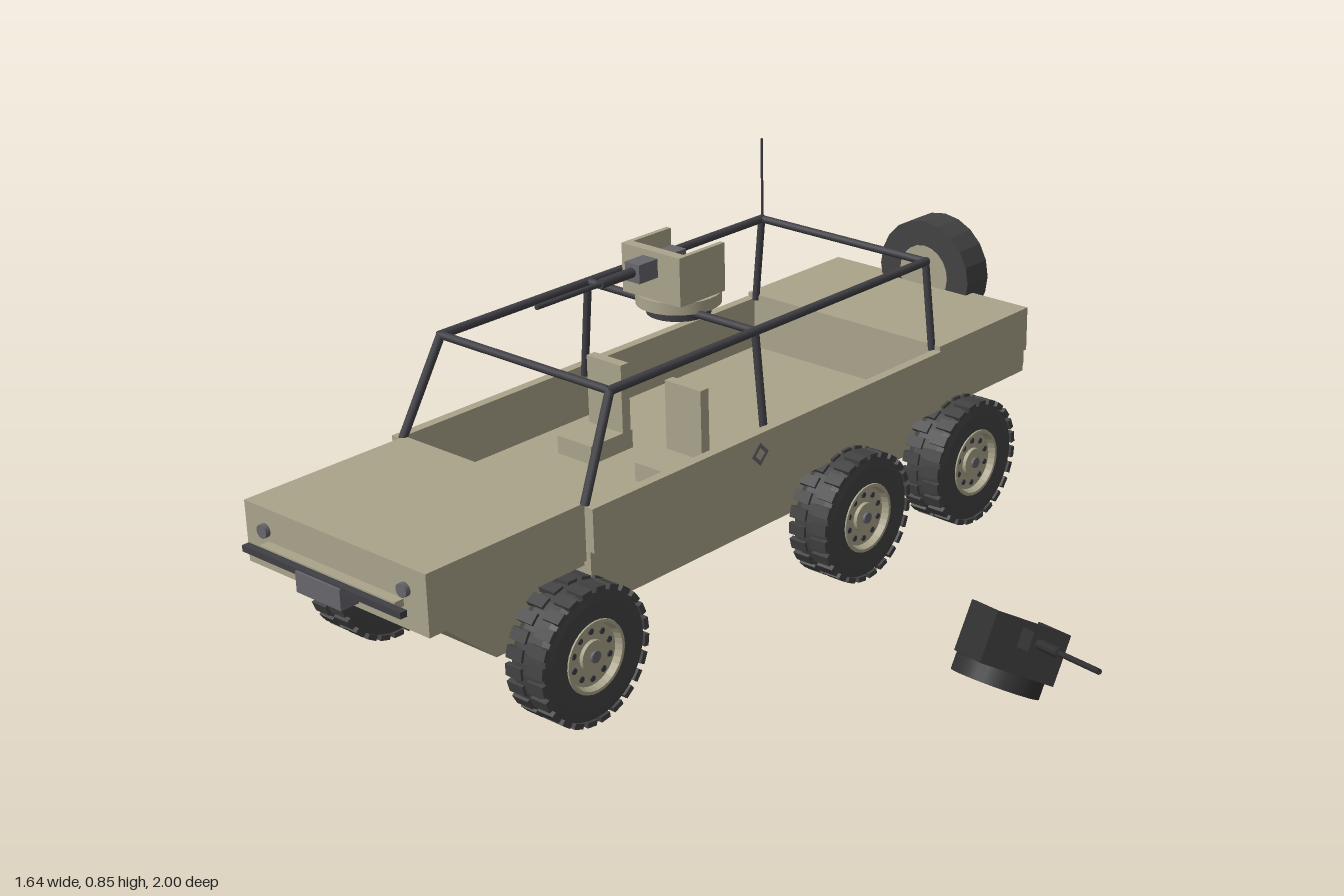
import * as THREE from 'three';

const material = (name, color) => {
  const m = new THREE.MeshStandardMaterial({ color });
  m.name = name;
  return m;
};

export function createModel() {
  const tan = material('tan paint', 0xaaa48b);
  const rubber = material('tyre rubber', 0x424242);
  const frame = material('dark frame', 0x3f3f45);
  const steel = material('grey steel', 0x66666c);
  const wreck = material('charred metal', 0x313131);

  const model = new THREE.Group();
  model.name = 'sixWheeledCar';
  const car = new THREE.Group();
  car.name = 'vehicle';
  car.position.x = -0.465;
  model.add(car);

  const add = (parent, name, geometry, mat, x = 0, y = 0, z = 0) => {
    const mesh = new THREE.Mesh(geometry, mat);
    mesh.name = name;
    mesh.position.set(x, y, z);
    parent.add(mesh);
    return mesh;
  };
  // Box given by its lower and upper corners
  const box = (parent, name, mat, [x0, y0, z0], [x1, y1, z1]) =>
    add(parent, name, new THREE.BoxGeometry(x1 - x0, y1 - y0, z1 - z0), mat,
      (x0 + x1) / 2, (y0 + y1) / 2, (z0 + z1) / 2);
  // Round bar between two points
  const bar = (parent, name, mat, a, b, r, sides = 10) => {
    const p = new THREE.Vector3(...a), q = new THREE.Vector3(...b);
    const mesh = add(parent, name, new THREE.CylinderGeometry(r, r, p.distanceTo(q), sides), mat);
    mesh.position.copy(p).lerp(q, 0.5);
    mesh.quaternion.setFromUnitVectors(new THREE.Vector3(0, 1, 0), q.sub(p).normalize());
    return mesh;
  };
  const extrude = (points, depth) => new THREE.ExtrudeGeometry(
    new THREE.Shape(points.map(p => new THREE.Vector2(...p))), { depth, bevelEnabled: false });
  // Turned profile with hard facets
  const turned = (points, sides) => {
    const g = new THREE.LatheGeometry(points.map(p => new THREE.Vector2(...p)), sides).toNonIndexed();
    g.computeVertexNormals();
    return g;
  };

  // Lower hull, a side profile swept across the width
  const hull = extrude([[-0.91, 0.31], [-0.75, 0.172], [0.74, 0.172], [0.87, 0.31]], 0.45);
  hull.rotateY(Math.PI / 2);
  add(car, 'lowerHull', hull, tan, -0.225, 0, 0);

  // Bonnet, open cabin tub and rear deck, with a stepped-in skirt
  box(car, 'bonnet', tan, [-0.268, 0.31, 0.53], [0.268, 0.445, 0.955]);
  box(car, 'skirt', tan, [-0.287, 0.29, -0.943], [0.287, 0.315, 0.54]);
  const tub = [[-0.287, 0.31], [0.287, 0.31], [0.287, 0.345], [0.298, 0.345], [0.298, 0.442], [0.275, 0.442],
    [0.275, 0.317], [-0.275, 0.317], [-0.275, 0.442], [-0.298, 0.442], [-0.298, 0.345], [-0.287, 0.345]];
  add(car, 'cabinTub', extrude(tub, 1.14), tan, 0, 0, -0.6);
  const deck = [[-0.287, 0.31], [0.287, 0.31], [0.287, 0.345], [0.294, 0.345], [0.294, 0.453],
    [-0.294, 0.453], [-0.294, 0.345], [-0.287, 0.345]];
  add(car, 'rearDeck', extrude(deck, 0.345), tan, 0, 0, -0.945);

  // Front bumper, winch and headlights
  box(car, 'bumperBar', frame, [-0.235, 0.355, 0.978], [0.235, 0.369, 0.995]);
  box(car, 'bumperMount', tan, [-0.2, 0.357, 0.953], [0.2, 0.373, 0.978]);
  box(car, 'winch', steel, [-0.066, 0.32, 0.95], [0.066, 0.366, 1.0]);
  for (const s of [-1, 1])
    bar(car, 'headlight', steel, [s * 0.207, 0.396, 0.95], [s * 0.207, 0.396, 0.966], 0.015, 16);

  for (const s of [-1, 1]) {
    // Seats
    const x = s * 0.118;
    box(car, 'seatCushion', tan, [x - 0.052, 0.31, 0.05], [x + 0.052, 0.36, 0.18]);
    box(car, 'seatBack', tan, [x - 0.052, 0.31, 0.055], [x + 0.052, 0.52, 0.08]);
    // Diamond plate on each side wall
    const diamond = add(car, 'diamondPlate', new THREE.RingGeometry(0.015, 0.027, 4), steel, s * 0.2995, 0.395, 0.036);
    diamond.rotation.y = s * Math.PI / 2;
    // Roll cage sides
    const top = s * 0.248, foot = s * 0.27;
    bar(car, 'cageFrontPost', frame, [foot, 0.44, 0.535], [top, 0.65, 0.43], 0.01);
    bar(car, 'cageTopRail', frame, [top, 0.65, 0.435], [top, 0.65, -0.605], 0.01);
    bar(car, 'cageMiddlePost', frame, [foot, 0.42, -0.01], [top, 0.65, -0.01], 0.009);
    bar(car, 'cageRearPost', frame, [foot, 0.44, -0.6], [top, 0.65, -0.6], 0.009);
  }
  for (const z of [0.43, -0.01, -0.6])
    bar(car, 'cageCrossBar', frame, [-0.252, 0.65, z], [0.252, 0.65, z], 0.009);
  bar(car, 'antenna', frame, [-0.243, 0.64, -0.597], [-0.243, 0.85, -0.597], 0.003, 6);

  // Wheel with its axis on x and the outer side on +x
  const makeWheel = () => {
    const wheel = new THREE.Group();
    wheel.name = 'wheel';
    const tyre = turned([[0.02, -0.05], [0.12, -0.05], [0.14, -0.046], [0.146, -0.03], [0.146, 0.03],
      [0.14, 0.046], [0.12, 0.05], [0.08, 0.05], [0.078, 0.03]], 40);
    tyre.rotateZ(-Math.PI / 2);
    add(wheel, 'tyre', tyre, rubber);
    // Two staggered rows of tread blocks
    const block = new THREE.BoxGeometry(0.044, 0.012, 0.026);
    for (let i = 0; i < 48; i++) {
      const a = i * Math.PI / 24;
      const lug = add(wheel, 'treadBlock', block, rubber, i % 2 ? 0.03 : -0.03,
        Math.cos(a) * 0.146, Math.sin(a) * 0.146);
      lug.rotation.x = a;
    }
    bar(wheel, 'innerDisc', rubber, [-0.052, 0, 0], [0, 0, 0], 0.085, 24);
    // Dished rim with hub and holes
    const rim = turned([[0.082, 0.048], [0.08, 0.053], [0.073, 0.053], [0.068, 0.037], [0.001, 0.037]], 32);
    rim.rotateZ(-Math.PI / 2);
    add(wheel, 'rim', rim, tan);
    bar(wheel, 'hub', tan, [0.03, 0, 0], [0.046, 0, 0], 0.034, 20);
    bar(wheel, 'hubCap', steel, [0.04, 0, 0], [0.052, 0, 0], 0.013, 12);
    for (let i = 0; i < 10; i++) {
      const a = i * Math.PI / 5, y = Math.cos(a) * 0.053, z = Math.sin(a) * 0.053;
      bar(wheel, 'rimHole', frame, [0.033, y, z], [0.04, y, z], 0.007, 8);
    }
    return wheel;
  };

  // Three axles with a wheel on each end
  for (const z of [0.6, -0.265, -0.67]) {
    bar(car, 'axle', frame, [-0.29, 0.155, z], [0.29, 0.155, z], 0.018, 12);
    for (const s of [-1, 1]) {
      const wheel = makeWheel();
      wheel.position.set(s * 0.302, 0.155, z);
      if (s < 0) wheel.rotation.y = Math.PI;
      car.add(wheel);
    }
  }

  // Spare wheel on the tail
  const spare = turned([[0.07, -0.041], [0.134, -0.041], [0.134, 0.041], [0.07, 0.041], [0.07, -0.041]], 20);
  spare.rotateX(Math.PI / 2);
  add(car, 'spareTyre', spare, rubber, 0, 0.481, -0.959);
  bar(car, 'spareHub', tan, [0, 0.481, -0.916], [0, 0.481, -0.998], 0.072, 20);

  // Gun turret: ring, open-backed shield and gun
  const makeTurret = (paint, dark, metal, ringBase) => {
    const turret = new THREE.Group();
    turret.name = 'turret';
    bar(turret, 'turretRing', paint, [0, ringBase, 0], [0, 0.05, 0], 0.095, 28);
    box(turret, 'shieldFront', paint, [-0.085, 0.05, 0.06], [0.085, 0.16, 0.085]);
    for (const s of [-1, 1])
      box(turret, 'shieldSide', paint, [s * 0.079 - 0.006, 0.05, -0.058], [s * 0.079 + 0.006, 0.16, 0.06]);
    box(turret, 'gunMount', dark, [-0.012, 0.05, 0.005], [0.012, 0.11, 0.04]);
    box(turret, 'gunReceiver', metal, [-0.021, 0.104, -0.005], [0.021, 0.146, 0.142]);
    bar(turret, 'barrelJacket', dark, [0, 0.126, 0.14], [0, 0.126, 0.24], 0.011, 12);
    bar(turret, 'barrel', dark, [0, 0.126, 0.24], [0, 0.126, 0.425], 0.006, 10);
    return turret;
  };
  const mounted = makeTurret(tan, frame, steel, 0.023);
  bar(mounted, 'turntable', frame, [0, 0, 0], [0, 0.025, 0], 0.072, 24);
  mounted.position.set(0, 0.63, -0.04);
  car.add(mounted);

  // Burnt turret lying on the ground beside the car
  const fallen = makeTurret(wreck, wreck, wreck, 0.013);
  fallen.name = 'wreckedTurret';
  const forward = new THREE.Vector3(0.82, 0.27, 0.5).normalize();
  const left = new THREE.Vector3(0.02, 0.866, -0.5).cross(forward).normalize();
  const up = forward.clone().cross(left);
  fallen.quaternion.setFromRotationMatrix(new THREE.Matrix4().makeBasis(left, up, forward));
  fallen.position.set(0.463, 0.046, 0.042);
  model.add(fallen);

  return model;
}
